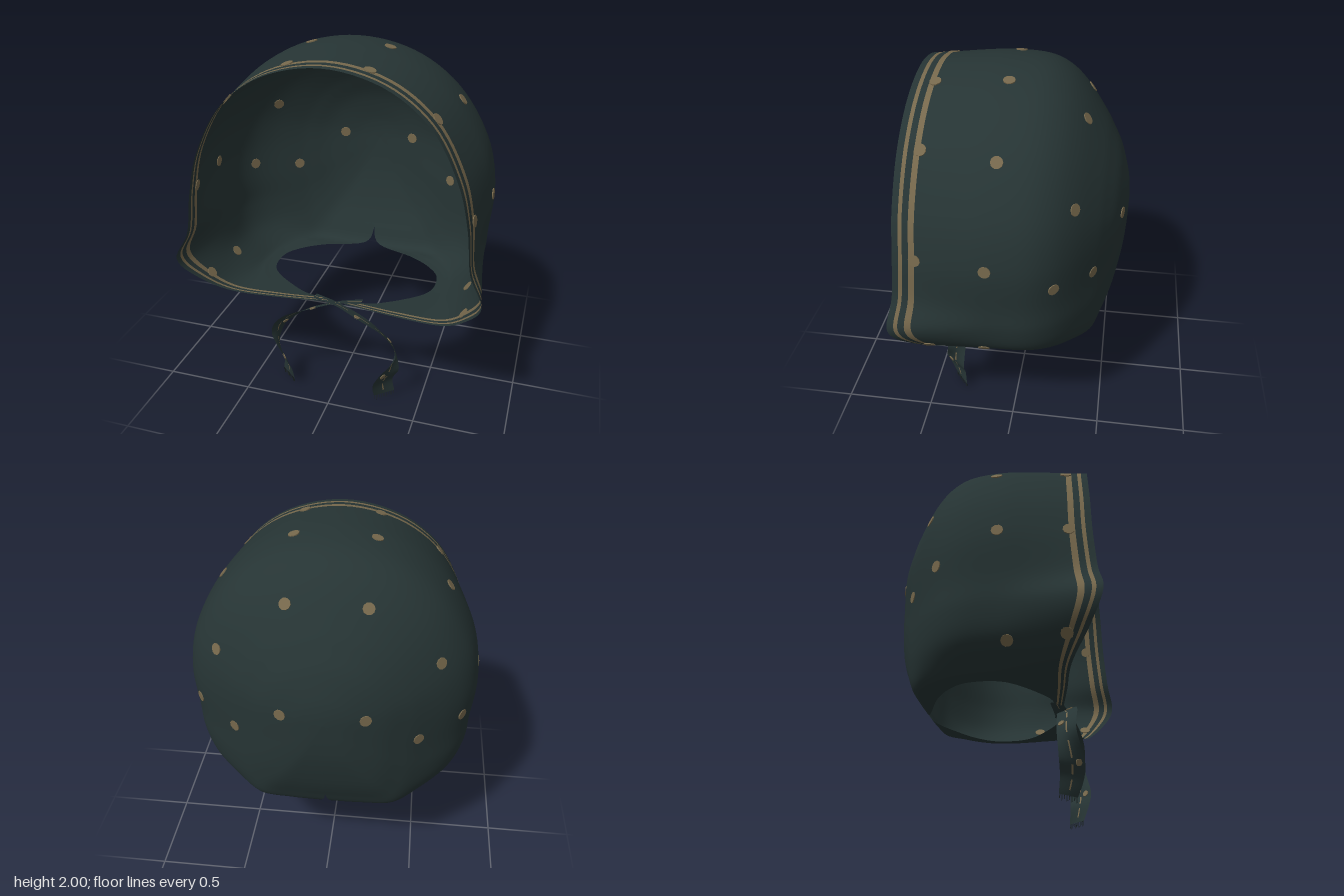
import * as THREE from 'three';

const V = (x, y, z) => new THREE.Vector3(x, y, z);
const spline = (pts) => new THREE.CatmullRomCurve3(pts, false, 'catmullrom', 0.5);

const fabric = new THREE.MeshStandardMaterial({ name: 'dark green cloth', color: 0x263434, side: THREE.DoubleSide });
const trim = new THREE.MeshStandardMaterial({ name: 'tan print', color: 0x76684c, side: THREE.DoubleSide });
const thread = new THREE.MeshStandardMaterial({ name: 'frayed thread', color: 0x1a2222 });

// Half outlines from crown to bottom corner: front edge [x, y, z, hem depth] and middle [x, y]
const FRONT = [
  [0, 1.965, 0.525, 0.115], [0.3, 1.9, 0.525, 0.115], [0.53, 1.73, 0.53, 0.115], [0.67, 1.48, 0.54, 0.115],
  [0.73, 1.25, 0.545, 0.115], [0.76, 1.02, 0.56, 0.115], [0.83, 0.86, 0.58, 0.12], [0.75, 0.72, 0.51, 0.1], [0.6, 0.6, 0.41, 0.06],
];
const MIDDLE = [[0, 2], [0.31, 1.94], [0.56, 1.77], [0.73, 1.51], [0.79, 1.25], [0.775, 1.0], [0.765, 0.85], [0.715, 0.71], [0.6, 0.6]];
// Sections behind the hem: [z, upper scale, lower height scale, half width of neck opening, flare]
const SECTIONS = [
  [0.25, 1, 1, 0.24, 0.3], [0.08, 1, 1, 0.46, 0], [-0.1, 0.985, 1, 0.49, 0], [-0.22, 0.92, 1, 0.42, 0],
  [-0.32, 0.8, 1, 0.28, 0], [-0.42, 0.62, 1, 0.05, 0], [-0.47, 0.51, 0.86, 0, 0], [-0.52, 0.38, 0.66, 0, 0],
  [-0.56, 0.21, 0.4, 0, 0], [-0.575, 0.1, 0.2, 0, 0], [-0.58, 0, 0, 0, 0],
];

// Turn in the bottom of a half outline to the neck opening, then mirror it
function fullSection(half, gap, rimZ, lower) {
  const corner = half[8];
  const y = 1.25 - 0.675 * lower;
  half.push(V((corner.x + gap) / 2, y + 0.004 * lower, (corner.z + rimZ) / 2), V(gap, y, rimZ));
  const mirrored = half.slice(1).reverse().map((p) => V(-p.x, p.y, p.z));
  return [...mirrored, ...half];
}

function shellSections() {
  const mix = (i, w) => [0, 1].map((c) => MIDDLE[i][c] + (FRONT[i][c] - MIDDLE[i][c]) * w);
  const list = [
    fullSection(FRONT.map(([x, y, z]) => V(x, y, z)), 0.04, 0.32, 1),
    fullSection(FRONT.map(([, , z, d], i) => V(...mix(i, 0.75), z - d)), 0.1, 0.29, 1),
  ];
  for (const [z, s, low, gap, flare] of SECTIONS) {
    const half = MIDDLE.map((_, i) => {
      const [x, y] = mix(i, flare);
      return V(x * s, 1.25 + (y - 1.25) * (y < 1.25 ? low : s), z);
    });
    list.push(fullSection(half, gap, z, low));
  }
  return list;
}

// Sheet from rows of points; printed(row, column) picks the trim colour
function sheet(name, rows, printed) {
  const n = rows[0].length;
  const faces = [[], []];
  for (let j = 0; j < rows.length - 1; j++) {
    for (let i = 0; i < n - 1; i++) {
      const a = j * n + i;
      faces[printed(j, i) ? 1 : 0].push(a, a + n, a + 1, a + 1, a + n, a + n + 1);
    }
  }
  const geo = new THREE.BufferGeometry().setFromPoints(rows.flat());
  geo.setIndex([...faces[0], ...faces[1]]);
  geo.addGroup(0, faces[0].length, 0);
  geo.addGroup(faces[0].length, faces[1].length, 1);
  geo.computeVertexNormals();
  const mesh = new THREE.Mesh(geo, [fabric, trim]);
  mesh.name = name;
  return mesh;
}

// Thin printed dot on the cloth at the nearest surface point
function dot(mesh, target, r) {
  const pos = mesh.geometry.attributes.position, nor = mesh.geometry.attributes.normal;
  const p = V(0, 0, 0);
  let best = 0, bestD = Infinity;
  for (let i = 0; i < pos.count; i++) {
    const d = p.fromBufferAttribute(pos, i).distanceToSquared(target);
    if (d < bestD) { bestD = d; best = i; }
  }
  const m = new THREE.Mesh(new THREE.CylinderGeometry(r, r, 0.009, 10), trim);
  m.name = 'dot';
  m.position.fromBufferAttribute(pos, best);
  m.quaternion.setFromUnitVectors(V(0, 1, 0), V(0, 0, 0).fromBufferAttribute(nor, best).normalize());
  return m;
}

function bonnetShell() {
  const sections = shellSections();
  const last = sections.length - 1;
  const lengthwise = sections[0].map((_, i) => spline(sections.map((s) => s[i])));
  // Rows follow the borders of the two hem stripes, then run evenly to the back
  const vs = [0, 0.15, 0.3, 0.4, 0.49, 0.63, 0.77, 0.89, 1];
  for (let v = 1.2; v < last + 0.01; v += 0.2) vs.push(Math.min(v, last));
  const rows = vs.map((v) => spline(lengthwise.map((c) => c.getPoint(v / last))).getPoints(120));
  return sheet('bonnetShell', rows, (j) => j === 2 || j === 3 || j === 6 || j === 7);
}

// Dots on one half
const DOTS = [
  [0.21, 1.785, -0.36], [0.57, 1.51, -0.35], [0.21, 1.28, -0.56], [0.5, 1.1, -0.43], [0.6, 1.74, 0.03], [0.2, 1.97, 0.03],
  [0.78, 1.23, 0.07], [0.7, 0.68, 0.1], [0.56, 1.73, 0.41], [0.19, 1.96, 0.41], [0.74, 1.26, 0.42], [0.72, 0.7, 0.4], [0.71, 1.1, -0.25],
];

// Ribbon stations: centre and half width vector
const RIBBON = [
  [[-0.14, 0.578, 0.29], [0, 0.003, 0.03]], [[0, 0.558, 0.31], [0, 0.012, 0.035]], [[0.15, 0.51, 0.34], [-0.01, 0.022, 0.045]],
  [[0.28, 0.44, 0.355], [0.02, 0.025, 0.055]], [[0.35, 0.34, 0.355], [0.02, 0, 0.05]], [[0.325, 0.2, 0.375], [-0.045, 0, 0.06]],
  [[0.29, 0.12, 0.37], [-0.045, 0, 0.055]], [[0.295, 0.03, 0.35], [-0.05, 0, 0.042]],
];

function ribbon(side) {
  const group = new THREE.Group();
  group.name = side > 0 ? 'leftRibbon' : 'rightRibbon';
  const flip = (p) => V(p[0] * side, p[1] + (side < 0 ? 0.012 : 0), p[2]);
  const mid = spline(RIBBON.map((r) => flip(r[0])));
  const half = spline(RIBBON.map((r) => V(r[1][0] * side, r[1][1], r[1][2])));
  const cols = [-1, -0.5, -0.07, 0.07, 0.5, 1];
  const rows = [];
  for (let j = 0; j <= 48; j++) {
    const c = mid.getPoint(j / 48), h = half.getPoint(j / 48);
    rows.push(cols.map((w) => c.clone().addScaledVector(h, w)));
  }
  // Broken centre line
  const cloth = sheet('ribbonCloth', rows, (j, i) => i === 2 && j % 6 < 4);
  group.add(cloth);
  for (const [j, w] of [[13, 0.5], [24, -0.5], [35, 0.5]]) {
    const c = mid.getPoint(j / 48).addScaledVector(half.getPoint(j / 48), w);
    group.add(dot(cloth, c, 0.018));
  }
  // Frayed end
  const end = mid.getPoint(1), across = half.getPoint(1);
  for (let k = 0; k < 12; k++) {
    const len = 0.02 + 0.01 * ((k * 5) % 3) / 2;
    const m = new THREE.Mesh(new THREE.BoxGeometry(0.003, len, 0.003), thread);
    m.name = 'fringe';
    m.position.copy(end).addScaledVector(across, -0.95 + (k * 1.9) / 11);
    m.position.y -= len / 2;
    group.add(m);
  }
  return group;
}

export function createModel() {
  const model = new THREE.Group();
  model.name = 'bonnet';
  const shell = bonnetShell();
  model.add(shell);
  for (const side of [1, -1]) {
    const dots = new THREE.Group();
    dots.name = side > 0 ? 'leftDots' : 'rightDots';
    for (const [x, y, z] of DOTS) dots.add(dot(shell, V(x * side, y, z), 0.031));
    model.add(dots, ribbon(side));
  }
  return model;
}
